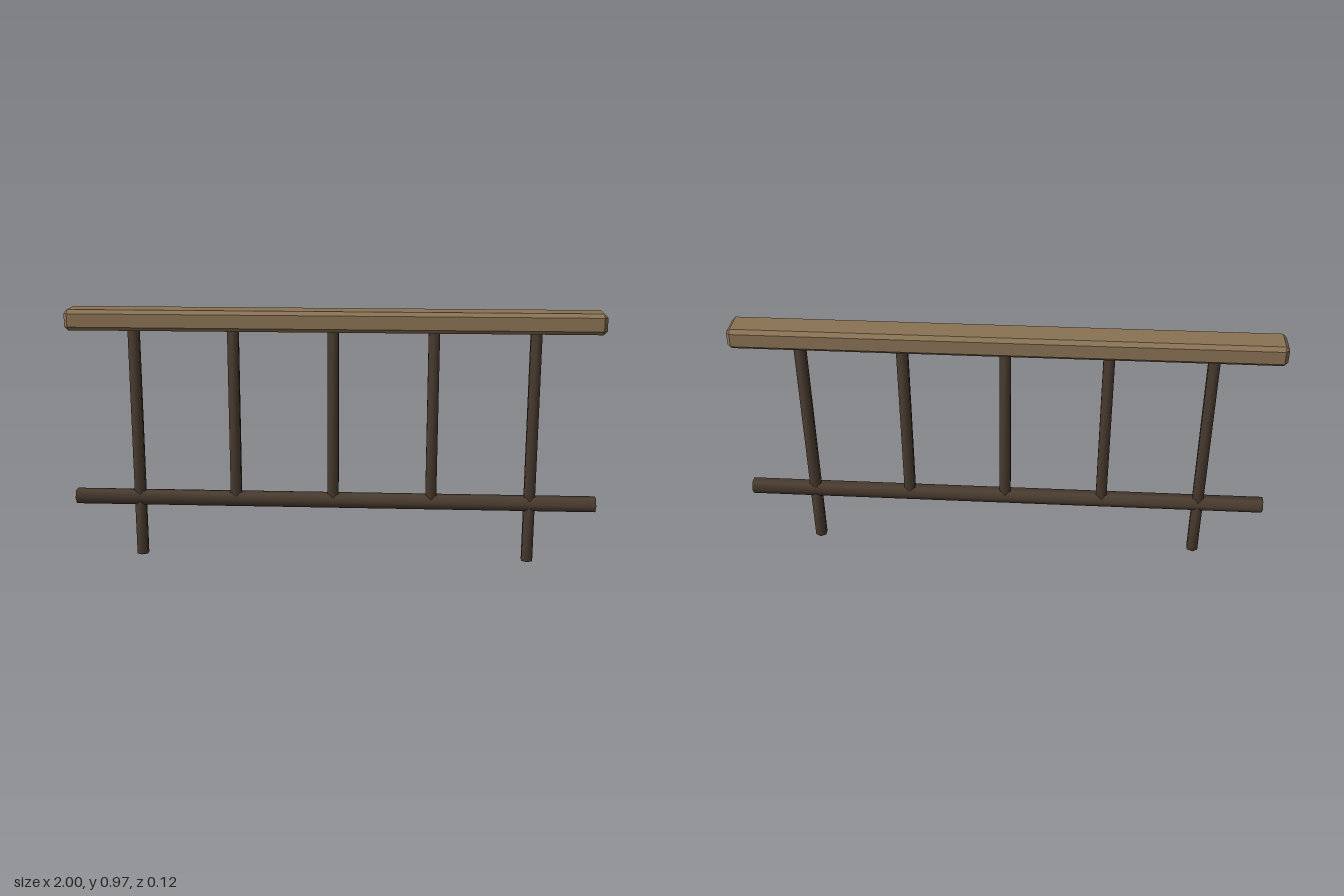
import * as THREE from 'three';
import { mergeVertices } from 'three/addons/utils/BufferGeometryUtils.js';
import { ConvexGeometry } from 'three/addons/geometries/ConvexGeometry.js';

// Six-sided bar along y with soft normals shared between sides and ends
function hexBar(radius, length) {
  const bar = new THREE.CylinderGeometry(radius, radius, length, 6);
  bar.deleteAttribute('normal');
  bar.deleteAttribute('uv');
  const soft = mergeVertices(bar, 1e-4);
  soft.computeVertexNormals();
  return soft;
}

// Box with every edge cut by a flat chamfer
function chamferedBox(w, h, d, cut) {
  const points = [];
  for (const sx of [-1, 1]) for (const sy of [-1, 1]) for (const sz of [-1, 1]) {
    for (let axis = 0; axis < 3; axis++) {
      const c = [cut, cut, cut];
      c[axis] = 0;
      points.push(new THREE.Vector3(sx * (w / 2 - c[0]), sy * (h / 2 - c[1]), sz * (d / 2 - c[2])));
    }
  }
  return new ConvexGeometry(points);
}

export function createModel() {
  const model = new THREE.Group();
  model.name = 'railing';

  const lightWood = new THREE.MeshStandardMaterial({ color: 0x8b7355 });
  lightWood.name = 'light wood';
  const darkWood = new THREE.MeshStandardMaterial({ color: 0x4a3c30 });
  darkWood.name = 'dark wood';

  function add(name, geometry, material, x, y) {
    const mesh = new THREE.Mesh(geometry, material);
    mesh.name = name;
    mesh.position.set(x, y, 0);
    model.add(mesh);
    return mesh;
  }

  // Chamfered handrail
  add('handrail', chamferedBox(2, 0.078, 0.12, 0.014), lightWood, 0, 0.929);

  // Lower rail
  add('lowerRail', hexBar(0.031, 2), darkWood, 0, 0.231).rotation.z = Math.PI / 2;

  // Balusters between the two rails
  const baluster = hexBar(0.024, 0.67);
  for (let i = -2; i <= 2; i++) add('baluster', baluster, darkWood, i * 0.375, 0.565);

  // Legs below the lower rail
  const leg = hexBar(0.024, 0.23);
  for (const side of [-1, 1]) add('leg', leg, darkWood, side * 0.75, 0.115);

  return model;
}
